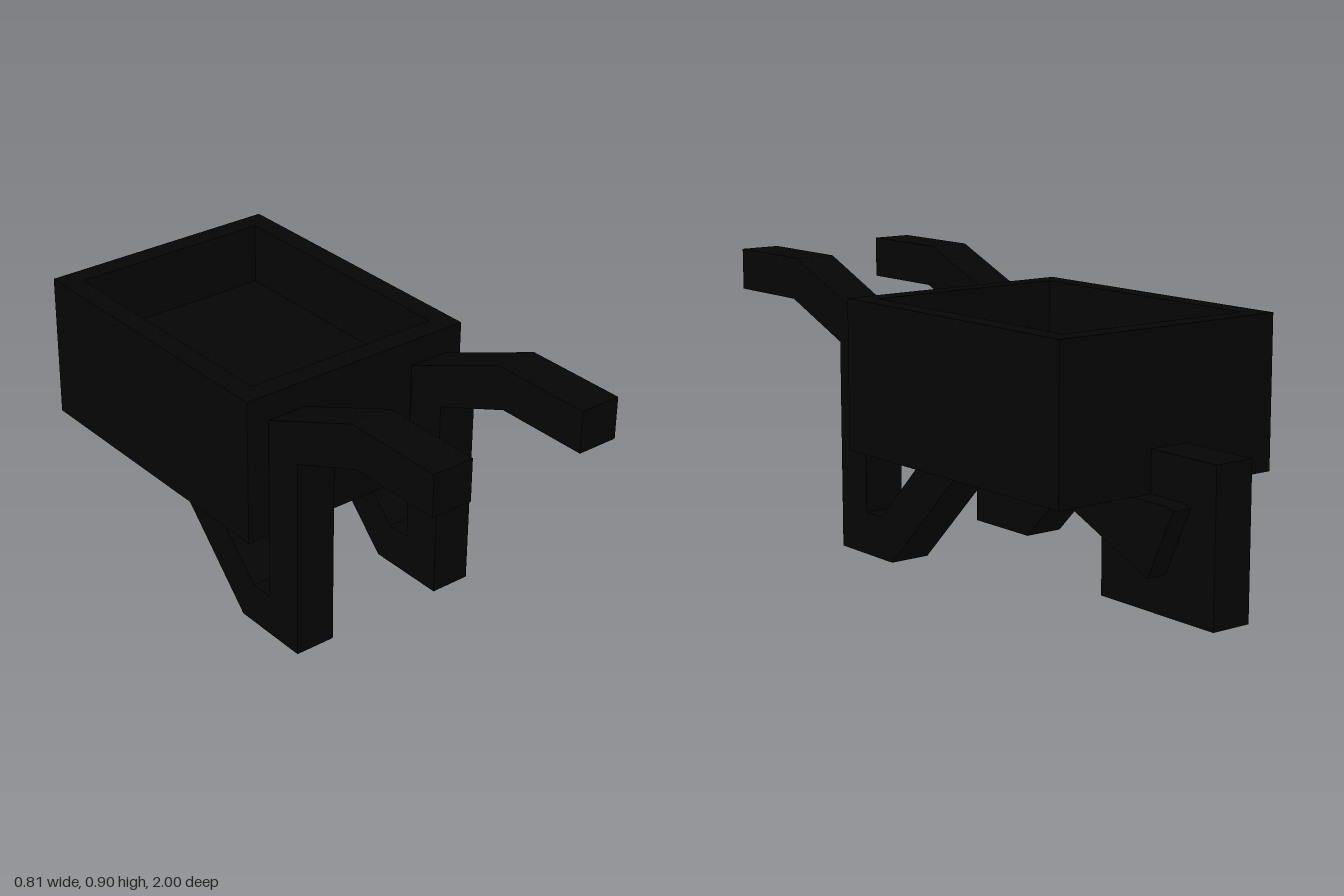
import * as THREE from 'three';

export function createModel() {
  const black = new THREE.MeshStandardMaterial({ color: 0x050505 });
  black.name = 'black';
  const model = new THREE.Group();
  model.name = 'wheelbarrow';

  const add = (geometry, name, parent = model) => {
    const mesh = new THREE.Mesh(geometry, black);
    mesh.name = name;
    parent.add(mesh);
    return mesh;
  };
  const box = (name, x0, x1, y0, y1, z0, z1, parent) =>
    add(new THREE.BoxGeometry(x1 - x0, y1 - y0, z1 - z0), name, parent)
      .position.set((x0 + x1) / 2, (y0 + y1) / 2, (z0 + z1) / 2);

  // Side profile given as [z, y] pairs, extruded across x from x0 to x1
  const sideProfile = (name, points, x0, x1, parent) => {
    const shape = new THREE.Shape(points.map(([z, y]) => new THREE.Vector2(-z, y)));
    const geometry = new THREE.ExtrudeGeometry(shape, { depth: x1 - x0, bevelEnabled: false });
    geometry.rotateY(Math.PI / 2);
    geometry.translate(x0, 0, 0);
    add(geometry, name, parent);
  };

  // Tray: rim walls extruded around a rectangular opening, over a thick floor
  const tray = new THREE.Group();
  tray.name = 'tray';
  model.add(tray);
  const W = 0.405, BACK = -0.735, FRONT = 0.28, BOTTOM = 0.345, FLOOR = 0.617, TOP = 0.82, T = 0.068;
  const rect = (Kind, x, z0, z1) => new Kind([
    new THREE.Vector2(-x, -z1), new THREE.Vector2(x, -z1),
    new THREE.Vector2(x, -z0), new THREE.Vector2(-x, -z0)]);
  const rim = rect(THREE.Shape, W, BACK, FRONT);
  rim.holes.push(rect(THREE.Path, W - T, BACK + T, FRONT - T));
  const walls = new THREE.ExtrudeGeometry(rim, { depth: TOP - BOTTOM, bevelEnabled: false });
  walls.rotateX(-Math.PI / 2);
  walls.translate(0, BOTTOM, 0);
  add(walls, 'trayWalls', tray);
  box('trayFloor', -W + T, W - T, BOTTOM, FLOOR, BACK + T, FRONT - T, tray);

  // Handles, each continuing into a leg and a diagonal strut
  const handle = [
    [1, 0.9], [0.665, 0.9], [0.29, 0.743], [0.29, 0.135], [0.21, 0.135], [0, 0.345],
    [-0.19, 0.345], [0.155, 0], [0.425, 0], [0.425, 0.66], [0.69, 0.767], [1, 0.767]];
  // Fork prongs sloping from the tray to the wheel
  const prong = [[-0.27, 0.345], [-0.8, 0.122], [-0.9, 0.335], [-0.875, 0.345]];
  for (const [side, s] of [['left', 1], ['right', -1]]) {
    const span = (a, b) => (s > 0 ? [a, b] : [-b, -a]);
    sideProfile(side + 'HandleAndLeg', handle, ...span(0.202, 0.337));
    sideProfile(side + 'ForkProng', prong, ...span(0.0675, 0.135));
  }

  // Square wheel
  box('wheel', -0.0675, 0.0675, 0, 0.475, -1, -0.525);

  return model;
}
